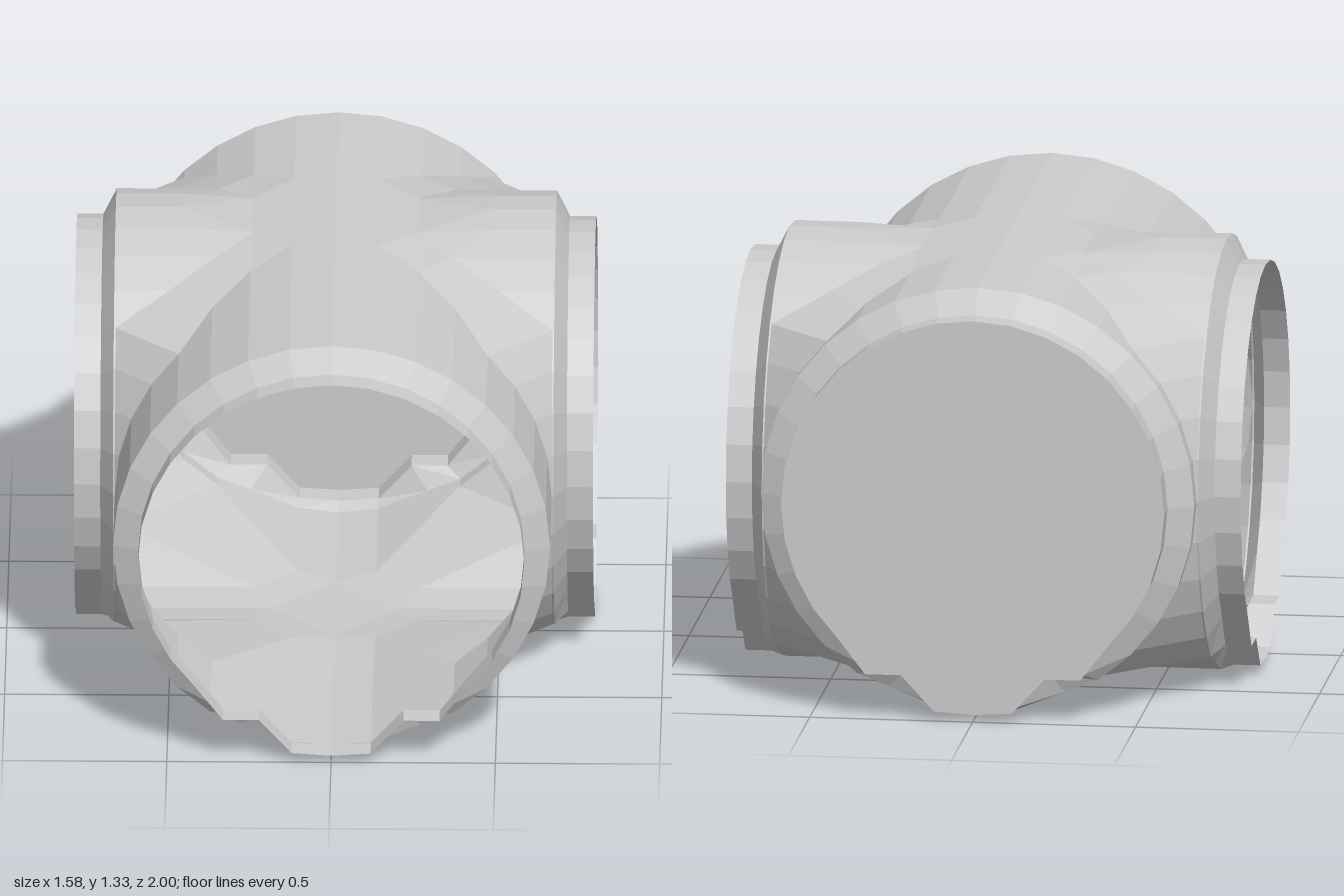
import * as THREE from 'three';

const R = 0.665, COLLAR_R = 0.588, CY = 0.667; // tube radius, collar radius, axis height
const CROSS_Z = -0.16;                         // where the cross tube meets the main tube

// Half profile from top to bottom: tube (w, y), collar (cw, cy), reach of the corner fillet (a)
function makeProfile() {
  const rows = [];
  const reach = [0.25, 0.25, 0.36, 0.5];
  for (let i = 0; i <= 13; i++) {
    const t = (i * Math.PI) / 16, s = Math.sin(t), c = Math.cos(t);
    rows.push({
      w: R * s, y: CY + R * c,
      cw: COLLAR_R * s, cy: CY + COLLAR_R * c,
      a: reach[i] ?? R, dip: [0.025, 0.012][i] ?? 0,
    });
  }
  // the collar has a ledge and a shallow trench at its foot
  Object.assign(rows[13], { cw: 0.33, cy: 0.14 });
  rows.push({ w: 0.27, y: 0.075, cw: 0.22, cy: 0.14, a: 0.5, dip: 0 });
  rows.push({ w: 0.12, y: 0.015, cw: 0.12, cy: 0.03, a: 0.25, dip: 0 });
  rows.push({ w: 0, y: 0, cw: 0, cy: 0.022, a: 0.2, dip: 0 });
  return rows;
}

// One corner of the junction: half of a main arm, the fillet, and half of a cross arm
function quadrant(rows, sx, sz, armEnd) {
  const pos = [], index = [];
  const add = (x, y, z) => pos.push(x * sx, y, z * sz + CROSS_Z);
  const tri = (a, b, c) => (sx * sz > 0 ? index.push(a, b, c) : index.push(a, c, b));
  const cols = 9;
  for (const { w, y, cw, cy, a, dip } of rows) {
    add(cw, cy, armEnd);               // main collar
    add(cw, cy, armEnd - 0.08);
    add(w, y, armEnd - 0.12);          // main tube
    add(w, y, a);                      // fillet
    add(a, y - dip, w);
    add(Math.max(a, 0.47), y, w);      // cross tube
    add(0.67, y, w);
    add(cw, cy, 0.71);
    pos.length -= 3;
    add(0.71, cy, cw);                 // cross collar
    add(0.79, cy, cw);
  }
  for (let r = 0; r < rows.length - 1; r++) {
    for (let c = 0; c < cols - 1; c++) {
      const p = r * cols + c, q = p + cols;
      tri(p, q, p + 1);
      tri(p + 1, q, q + 1);
    }
  }
  // close the crown and the underside at the crossing
  const last = (rows.length - 1) * cols, n = rows.length * cols;
  add(0, rows[0].y, 0);
  add(0, rows[rows.length - 1].y, 0);
  tri(n, 3, 4);
  tri(n + 1, last + 4, last + 3);

  const geo = new THREE.BufferGeometry();
  geo.setAttribute('position', new THREE.Float32BufferAttribute(pos, 3));
  geo.setIndex(index);
  const flat = geo.toNonIndexed();
  flat.computeVertexNormals();
  return flat;
}

export function createModel() {
  const model = new THREE.Group();
  model.name = 'corridorJunction';
  const material = new THREE.MeshStandardMaterial({
    color: 0xcccccc, flatShading: true, side: THREE.DoubleSide,
  });
  const rows = makeProfile();

  // four mirrored corners of the shell
  const shell = new THREE.Group();
  shell.name = 'tubeShell';
  for (const sx of [1, -1]) {
    for (const sz of [1, -1]) {
      const armEnd = sz > 0 ? 1 - CROSS_Z : 1 + CROSS_Z;
      const mesh = new THREE.Mesh(quadrant(rows, sx, sz, armEnd), material);
      mesh.name = (sz > 0 ? 'front' : 'back') + (sx > 0 ? 'Left' : 'Right') + 'Corner';
      shell.add(mesh);
    }
  }
  model.add(shell);

  // flat wall closing the back collar
  const outline = rows.map((r) => new THREE.Vector2(r.cw, r.cy));
  const mirrored = outline.slice(1, -1).reverse().map((p) => new THREE.Vector2(-p.x, p.y));
  const wall = new THREE.Mesh(
    new THREE.ShapeGeometry(new THREE.Shape([...outline, ...mirrored])), material);
  wall.name = 'backWall';
  wall.rotation.y = Math.PI;
  wall.position.z = -1;
  model.add(wall);

  return model;
}
